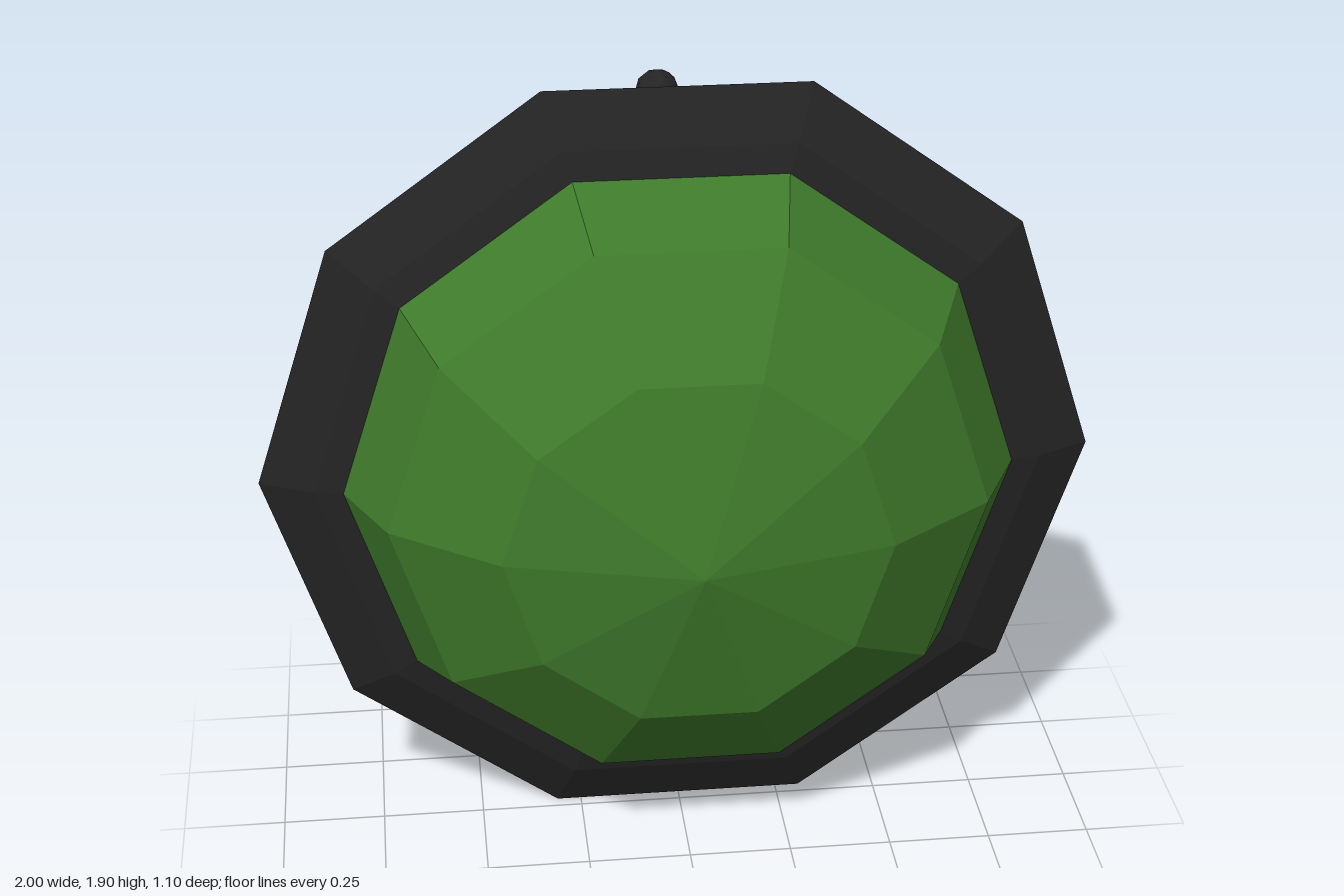
import * as THREE from 'three';

const SIDES = 10;
const CENTER_Y = Math.sin(Math.PI * 0.4); // half height of the ten-sided rim

const darkMaterial = new THREE.MeshStandardMaterial({ color: 0x242424, flatShading: true });
const greenMaterial = new THREE.MeshStandardMaterial({ color: 0x3f7a2b, flatShading: true });

// Faceted body of revolution around z; the profile lists [radius, z] from back to front
function turned(name, profile, material) {
  const points = profile.map(([r, z]) => new THREE.Vector2(r, z));
  const geometry = new THREE.LatheGeometry(points, SIDES, Math.PI / 2);
  geometry.rotateX(Math.PI / 2);
  const mesh = new THREE.Mesh(geometry, material);
  mesh.name = name;
  mesh.position.y = CENTER_Y;
  return mesh;
}

// Tapered strut with a ball foot
function landingLeg(name, start, end) {
  const leg = new THREE.Group();
  leg.name = name;
  const a = new THREE.Vector3(...start);
  const b = new THREE.Vector3(...end);
  const direction = b.clone().sub(a);

  const strut = new THREE.Mesh(
    new THREE.CylinderGeometry(0.015, 0.025, direction.length(), 8),
    darkMaterial
  );
  strut.name = 'strut';
  strut.position.copy(a).add(b).multiplyScalar(0.5);
  strut.quaternion.setFromUnitVectors(new THREE.Vector3(0, 1, 0), direction.normalize());

  const foot = new THREE.Mesh(new THREE.IcosahedronGeometry(0.054, 1), darkMaterial);
  foot.name = 'ballFoot';
  foot.position.copy(b);

  leg.add(strut, foot);
  return leg;
}

export function createModel() {
  const model = new THREE.Group();
  model.name = 'flyingSaucer';

  // Dark hull with a sharp rim and a flat underside
  model.add(turned('hull', [
    [0, -0.3], [0.45, -0.3], [0.89, -0.13], [1, -0.03], [0.87, 0.03], [0.8, 0.045], [0, 0.045],
  ], darkMaterial));

  // Green faceted dome
  model.add(turned('dome', [
    [0.8, 0.045], [0.7, 0.248], [0.447, 0.432], [0, 0.545],
  ], greenMaterial));

  // Three splayed legs on the underside
  model.add(
    landingLeg('topLeg', [0, 1.605, -0.17], [0, 1.725, -0.496]),
    landingLeg('lowerLeftLeg', [0.59, 0.595, -0.17], [0.687, 0.53, -0.496]),
    landingLeg('lowerRightLeg', [-0.59, 0.595, -0.17], [-0.695, 0.53, -0.496])
  );

  return model;
}
